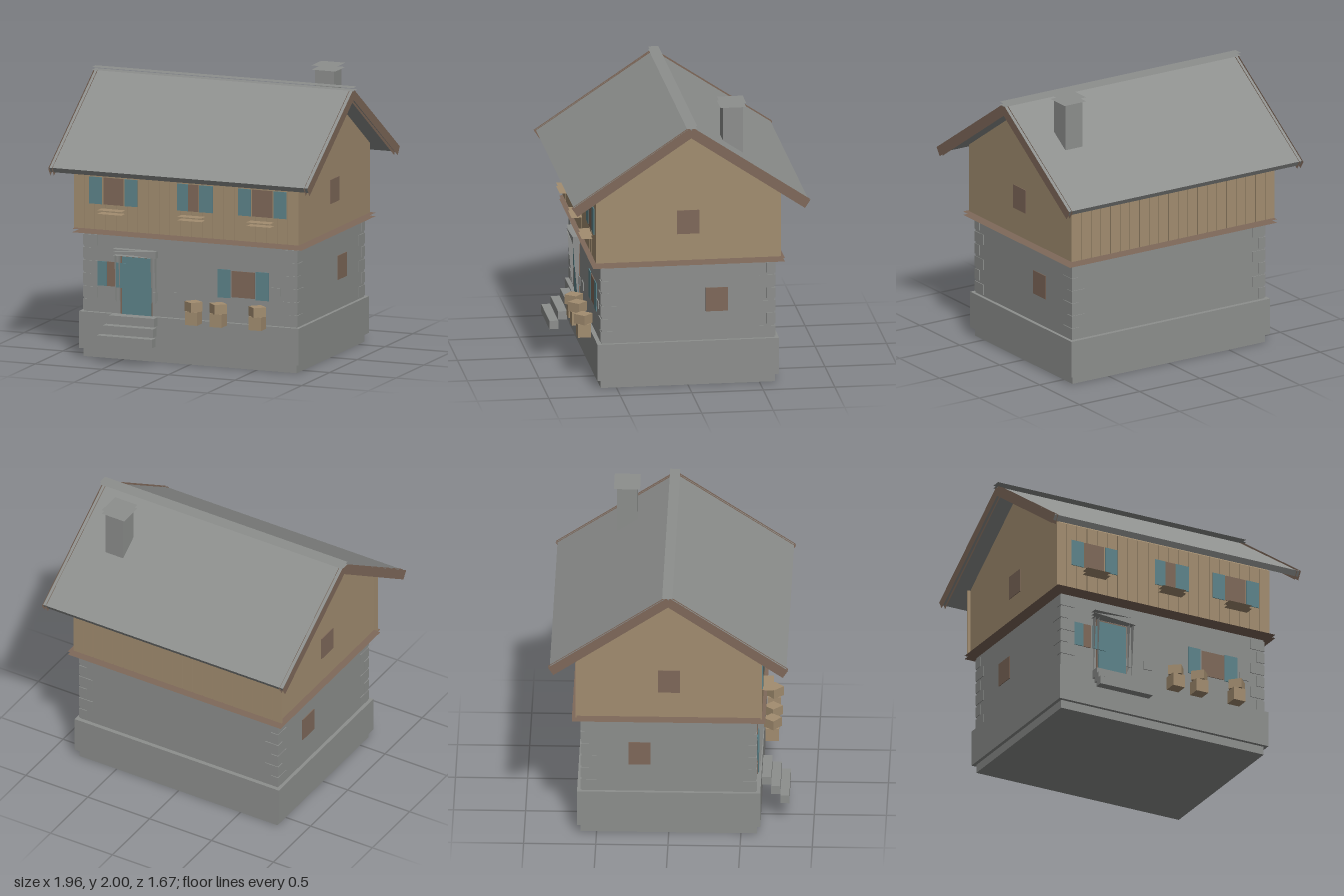
import * as THREE from 'three';
import { mergeGeometries } from 'three/addons/utils/BufferGeometryUtils.js';

const mat = (name, color) => {
  const m = new THREE.MeshStandardMaterial({ color, side: THREE.DoubleSide });
  m.name = name;
  return m;
};

export function createModel() {
  const stone = mat('grey stone', 0x8d8f8d);
  const wood = mat('light wood', 0xa28d70);
  const brown = mat('dark wood', 0x7f695a);
  const teal = mat('teal paint', 0x5d838a);
  const house = new THREE.Group();
  house.name = 'house';

  const add = (name, geometry, material) => {
    const mesh = new THREE.Mesh(geometry, material);
    mesh.name = name;
    house.add(mesh);
    return mesh;
  };
  // Box given by its lower and upper limits
  const box = (name, material, x0, x1, y0, y1, z0, z1) => {
    const g = new THREE.BoxGeometry(x1 - x0, y1 - y0, z1 - z0);
    g.translate((x0 + x1) / 2, (y0 + y1) / 2, (z0 + z1) / 2);
    return add(name, g, material);
  };
  // Two stacked open sheets
  const sheets = (name, material, x0, x1, y0, y1, z0, z1) => {
    const parts = [y0, y1].map((y) => new THREE.PlaneGeometry(x1 - x0, z1 - z0)
      .rotateX(-Math.PI / 2).translate((x0 + x1) / 2, y, (z0 + z1) / 2));
    return add(name, mergeGeometries(parts), material);
  };
  const outline = (points) => new THREE.Shape(points.map(([z, y]) => new THREE.Vector2(z, y)));
  // Profile in z and y, drawn out along x
  const prism = (name, material, points, width) => add(name,
    new THREE.ExtrudeGeometry(outline(points), { depth: width, bevelEnabled: false })
      .translate(0, 0, -width / 2).rotateY(-Math.PI / 2), material);
  // Flat profile in z and y, standing at x
  const sidePlate = (name, material, points, x) => add(name,
    new THREE.ShapeGeometry(outline(points)).rotateY(-Math.PI / 2).translate(x, 0, 0), material);

  // Stone storey
  box('foundation', stone, -0.8, 0.8, 0, 0.06, -0.61, 0.61);
  box('plinth', stone, -0.825, 0.825, 0.06, 0.32, -0.635, 0.635);
  box('stoneWall', stone, -0.8, 0.8, 0.32, 0.875, -0.605, 0.605);
  for (const sx of [-1, 1]) for (const sz of [-1, 1]) for (let i = 0; i < 6; i++) {
    const w = i % 2 ? 0.11 : 0.06, d = i % 2 ? 0.06 : 0.11, y = 0.33 + i * 0.0915;
    const g = new THREE.BoxGeometry(w, 0.075, d);
    g.translate(sx * (0.805 - w / 2), y + 0.0375, sz * (0.611 - d / 2));
    add('cornerStone', g, stone);
  }
  for (const [x, y, w, h] of [[-0.27, 0.46, 0.055, 0.06], [-0.115, 0.472, 0.07, 0.06], [0.645, 0.562, 0.07, 0.055]])
    box('wallStone', stone, x - w / 2, x + w / 2, y - h / 2, y + h / 2, 0.605, 0.612);

  // Timber storey
  sheets('floorLedge', brown, -0.86, 0.86, 0.88, 0.905, -0.67, 0.67);
  prism('timberWall', wood, [[-0.638, 0.91], [0.638, 0.91], [0.638, 1.4], [0, 1.83], [-0.638, 1.4]], 1.66);
  for (let i = 0; i < 21; i++) {
    const x = -0.855 + i * 0.0804;
    for (const z of [-0.642, 0.642])
      box('plank', wood, x, x + 0.074, 0.91, 1.395, z - 0.004, z + 0.004);
  }

  // Roof
  prism('roof', stone, [[0, 1.9], [-0.82, 1.355], [-0.797, 1.32], [0, 1.85], [0.797, 1.32], [0.82, 1.355]], 1.936);
  for (const s of [-1, 1]) for (const x of [-0.972, -0.945, 0.945, 0.972])
    sidePlate('vergeBoard', brown,
      [[0, 1.83], [s * 0.795, 1.295], [s * 0.833, 1.352], [s * 0.013, 1.9], [0, 1.885]], x);
  sheets('ridgeCap', stone, -0.98, 0.98, 1.9, 1.92, -0.04, 0.03);

  // Chimney
  box('chimney', stone, 0.577, 0.717, 1.6, 1.966, -0.397, -0.257);
  sheets('chimneyCap', stone, 0.557, 0.737, 1.97, 2, -0.417, -0.237);

  // Front windows: each list holds the limits of one pane or shutter
  const plate = (name, material, x0, x1, y0, y1, z) => box(name, material, x0, x1, y0, y1, z - 0.003, z + 0.003);
  const upper = [
    [-0.74, -0.645, -0.635, -0.485, -0.475, -0.38],
    [-0.08, 0.0, 0.0, 0.078, 0.085, 0.185],
    [0.375, 0.47, 0.48, 0.635, 0.642, 0.74],
  ];
  for (const [a, b, c, d, e, f] of upper) {
    plate('windowPane', brown, c, d, 1.09, 1.28, 0.647);
    plate('shutter', teal, a, b, 1.09, 1.28, 0.649);
    plate('shutter', teal, e, f, 1.09, 1.28, 0.649);
    const mid = (c + d) / 2;
    sheets('windowSill', wood, mid - 0.09, mid + 0.09, 1.035, 1.06, 0.645, 0.72);
  }
  plate('windowPane', brown, -0.63, -0.565, 0.508, 0.68, 0.608);
  plate('shutter', teal, -0.695, -0.625, 0.508, 0.68, 0.61);
  plate('shutter', teal, -0.555, -0.455, 0.505, 0.68, 0.618);
  plate('windowPane', brown, 0.31, 0.485, 0.5, 0.685, 0.608);
  plate('shutter', teal, 0.205, 0.3, 0.492, 0.692, 0.61);
  plate('shutter', teal, 0.492, 0.59, 0.492, 0.692, 0.61);

  // Gable windows
  for (const s of [-1, 1]) {
    const pane = (z0, z1, y0, y1, x) => box('sideWindow', brown, s * x - 0.004, s * x + 0.004, y0, y1, z0, z1);
    pane(-0.075, 0.08, 1.1, 1.27, 0.831);
    pane(-0.28, -0.125, 0.525, 0.695, 0.801);
  }

  // Door, posts, lintel
  plate('doorFrame', brown, -0.522, -0.283, 0.32, 0.735, 0.608);
  plate('door', teal, -0.508, -0.29, 0.32, 0.725, 0.612);
  for (const x of [-0.55, -0.52, -0.28, -0.25])
    sidePlate('doorPost', stone, [[0.612, 0.735], [0.622, 0.33], [0.655, 0.735]], x);
  sheets('doorLintel', stone, -0.56, -0.24, 0.737, 0.783, 0.61, 0.66);
  const wedge = new THREE.Shape([[-0.56, 0.76], [-0.24, 0.735], [-0.24, 0.785]].map((p) => new THREE.Vector2(...p)));
  add('lintelWedge', new THREE.ExtrudeGeometry(wedge, { depth: 0.05, bevelEnabled: false }).translate(0, 0, 0.61), stone);

  // Steps
  for (let i = 0; i < 3; i++)
    box('step', stone, -0.61 + i * 0.02, -0.195 - i * 0.018, 0.14 + i * 0.061, 0.2 + i * 0.061,
      0.768 - i * 0.064, 0.83 - i * 0.063);

  // Planters, each with a turned block on top
  for (const x of [0.06, 0.245, 0.54]) {
    box('planter', wood, x - 0.046, x + 0.046, 0.305, 0.4, 0.646, 0.74);
    const block = add('planterTop', new THREE.BoxGeometry(0.093, 0.068, 0.093), wood);
    block.position.set(x, 0.432, 0.695);
    block.rotation.y = x < 0.1 ? 0.9 : Math.PI / 4;
  }
  return house;
}
